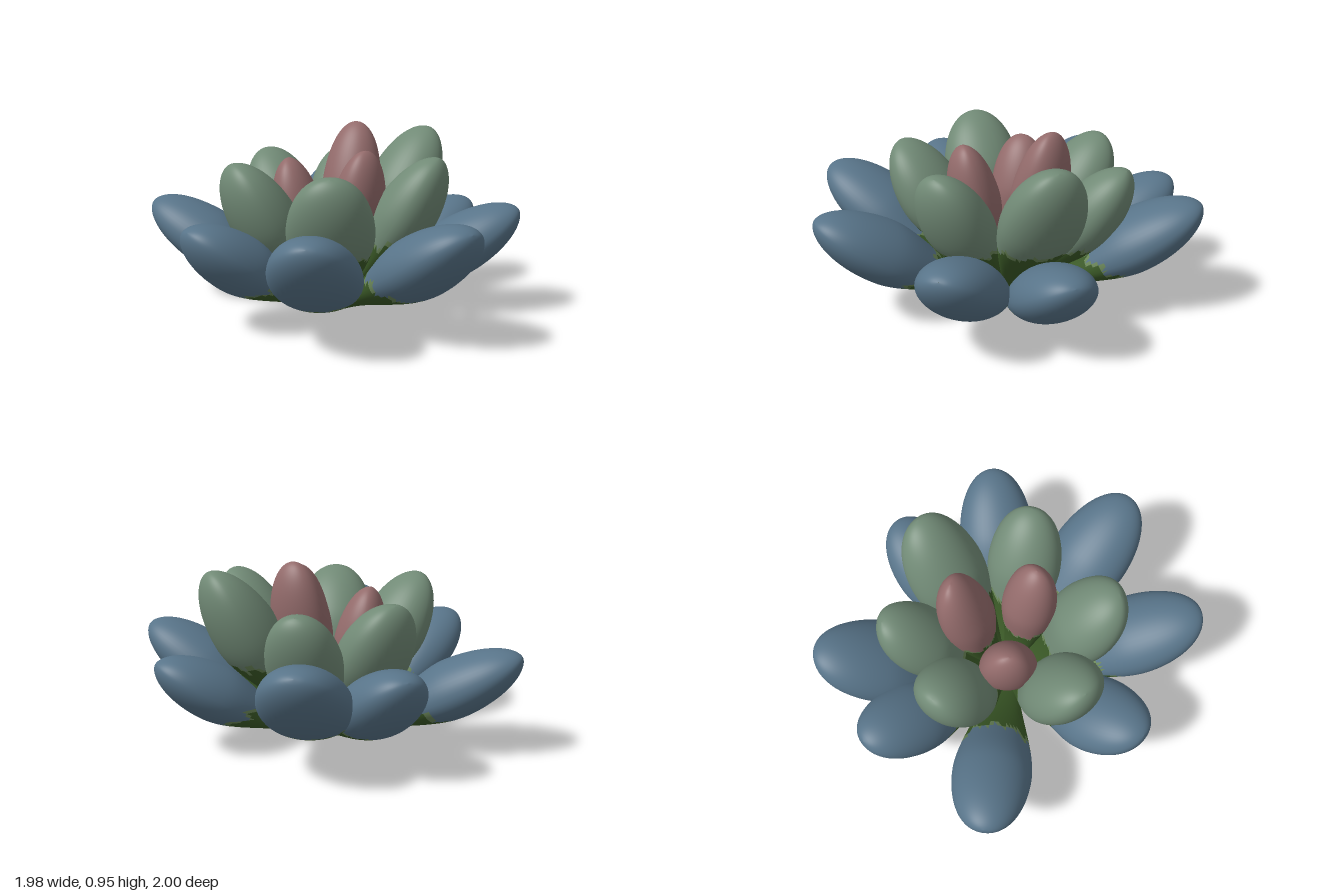
import * as THREE from 'three';

const mat = (name, color) => new THREE.MeshStandardMaterial({ name, color });

const RINGS = 40, COLS = 48;

// Plump petal lofted from elliptical rings: thin stalk end, broad body, upturned tip
function petalGeometry([x, z, y, width, thick], baseRadius, seed) {
  const out = new THREE.Vector3(x, 0, z).normalize();
  const base = new THREE.Vector3(0.025, 0.012, -0.015).addScaledVector(out, baseRadius);
  const tip = new THREE.Vector3(x, y, z);
  const axis = tip.clone().sub(base).normalize();
  const side = new THREE.Vector3(0, 1, 0).cross(axis).normalize();
  const sag = axis.clone().cross(side).multiplyScalar(-0.055);
  const bend = base.clone().lerp(tip, 0.65).add(sag);
  const spine = new THREE.QuadraticBezierCurve3(base, bend, tip);
  const ringT = (i) => 1 - Math.pow(1 - i / RINGS, 1.5);

  const pos = [];
  for (let i = 0; i <= RINGS; i++) {
    const t = ringT(i);
    const c = spine.getPoint(t);
    const normal = spine.getTangent(t).cross(side).normalize();
    const grow = 0.3 + 0.7 * THREE.MathUtils.smoothstep(t, -0.1, 0.57);
    const close = t > 0.57 ? Math.sqrt(Math.max(0, 1 - Math.pow((t - 0.57) / 0.43, 1.75))) : 1;
    const w = width * Math.max(grow * close, 0.002);
    const h = thick * Math.max(grow * grow * Math.pow(close, 1.15), 0.002);
    for (let j = 0; j < COLS; j++) {
      const a = j / COLS * Math.PI * 2, up = Math.sin(a);
      const p = c.clone()
        .addScaledVector(side, Math.cos(a) * w)
        .addScaledVector(normal, up * h * (up < 0 ? 1.05 : 1.25));
      pos.push(p.x, Math.max(p.y, 0), p.z);
    }
  }

  // Ragged border between the green stalk, a pale fringe and the coloured tip;
  // the colour reaches further down on the upper face
  const parts = [[], [], []];
  const addFace = (t, col, ...corners) => {
    const a = col / COLS * Math.PI * 2;
    const border = 0.41 - 0.08 * Math.sin(a) + 0.016 * Math.sin(9 * a + seed) + 0.01 * Math.sin(16 * a + seed * 2);
    const fringe = 0.02 + 0.012 * Math.sin(7 * a + seed);
    parts[t < border ? 0 : t < border + fringe ? 1 : 2].push(...corners);
  };
  for (let i = 0; i < RINGS; i++) {
    for (let j = 0; j < COLS; j++) {
      const k = (j + 1) % COLS, a = i * COLS, b = a + COLS;
      addFace(ringT(i + 0.33), j + 0.33, a + j, a + k, b + j);
      addFace(ringT(i + 0.67), j + 0.67, a + k, b + k, b + j);
    }
  }
  // Close the stalk end
  const centre = pos.length / 3;
  pos.push(base.x, base.y, base.z);
  for (let j = 0; j < COLS; j++) parts[0].push(centre, (j + 1) % COLS, j);

  const geo = new THREE.BufferGeometry();
  geo.setAttribute('position', new THREE.Float32BufferAttribute(pos, 3));
  geo.setIndex(parts.flat());
  let start = 0;
  parts.forEach((p, m) => { geo.addGroup(start, p.length, m); start += p.length; });
  geo.computeVertexNormals();
  return geo;
}

export function createModel() {
  const stalk = mat('stalkGreen', 0x3b5a27);
  const fringe = mat('paleFringe', 0x6b8759);
  const blue = mat('slateBlue', 0x587489);
  const sage = mat('sageGreen', 0x718a76);
  const pink = mat('dustyPink', 0x936b6b);

  // Each petal: tip x, tip z, tip height, half width, half thickness
  const whorls = [
    { name: 'outerPetal', color: blue, base: 0.08, petals: [
      [-0.09, -0.99, 0.59, 0.225, 0.135], [-0.53, -0.74, 0.53, 0.2, 0.13],
      [-0.98, -0.15, 0.51, 0.205, 0.13], [-0.54, 0.65, 0.54, 0.21, 0.13],
      [0.08, 0.99, 0.58, 0.22, 0.135], [0.76, 0.67, 0.59, 0.22, 0.135],
      [0.98, -0.07, 0.55, 0.205, 0.13], [0.71, -0.6, 0.48, 0.2, 0.125],
    ] },
    { name: 'middlePetal', color: sage, base: 0.065, petals: [
      [0.01, -0.63, 0.76, 0.19, 0.135], [0.49, -0.44, 0.91, 0.21, 0.145],
      [0.58, 0.13, 0.83, 0.195, 0.135], [0.11, 0.55, 0.79, 0.215, 0.14],
      [-0.4, 0.35, 0.81, 0.21, 0.14], [-0.4, -0.38, 0.78, 0.2, 0.14],
    ] },
    { name: 'innerPetal', color: pink, base: 0.035, petals: [
      [0.12, -0.28, 0.95, 0.16, 0.115], [-0.2, -0.01, 0.79, 0.15, 0.11],
      [0.22, 0.14, 0.86, 0.145, 0.11],
    ] },
  ];

  const model = new THREE.Group();
  model.name = 'succulentRosette';
  for (const { name, color, base, petals } of whorls) {
    const group = new THREE.Group();
    group.name = name + 's';
    petals.forEach((p, i) => {
      const mesh = new THREE.Mesh(petalGeometry(p, base, i), [stalk, fringe, color]);
      mesh.name = name + (i + 1);
      group.add(mesh);
    });
    model.add(group);
  }
  return model;
}
